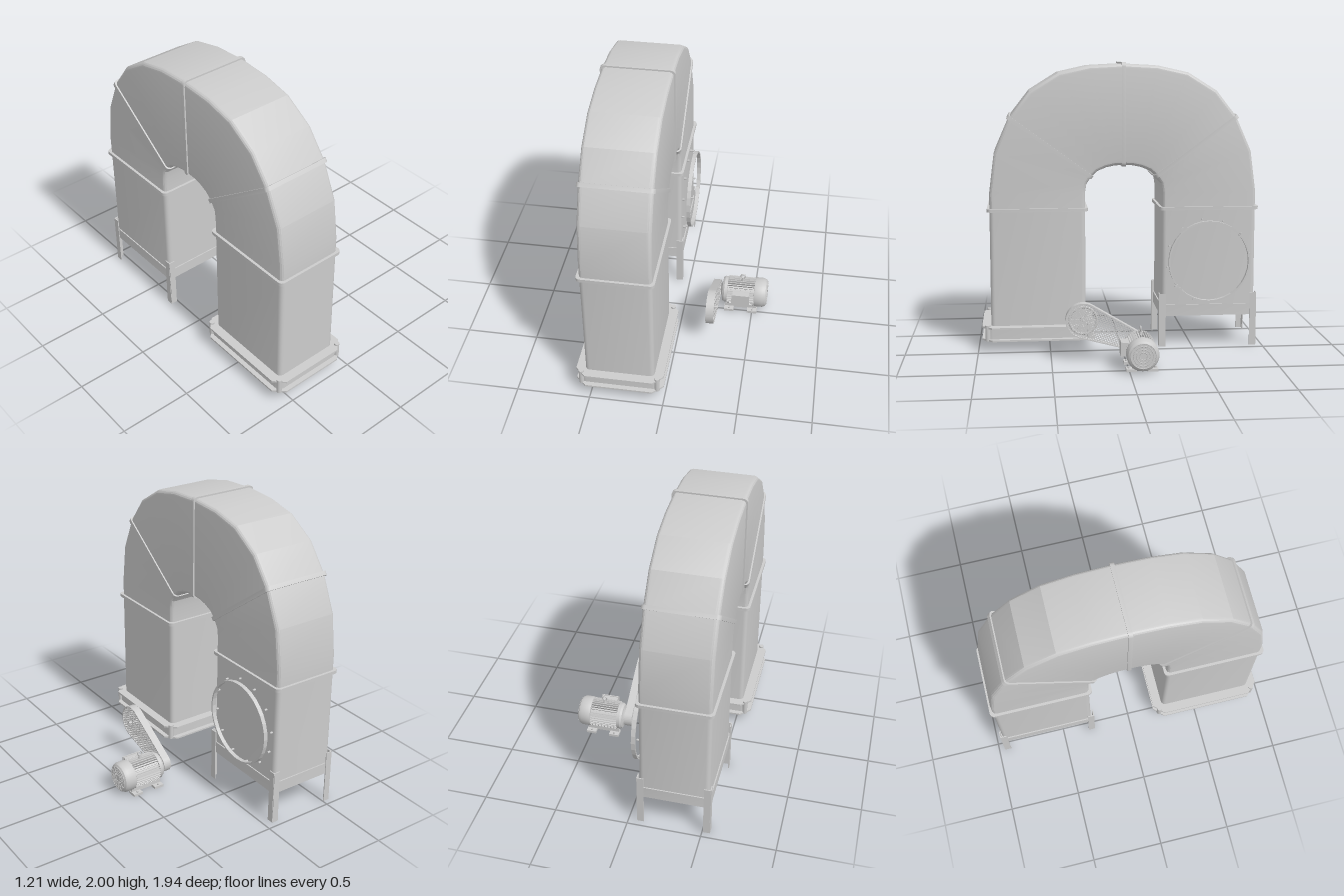
import * as THREE from 'three';
import { toCreasedNormals, mergeGeometries } from 'three/addons/utils/BufferGeometryUtils.js';

const CX = -0.305, HALF = 0.235; // duct centre and half width in x

export function createModel() {
  const root = new THREE.Group();
  const mat = new THREE.MeshStandardMaterial({ color: 0xcccccc, side: THREE.DoubleSide });
  const add = (name, geo, parent = root, x = 0, y = 0, z = 0) => {
    const m = new THREE.Mesh(geo, mat);
    m.name = name;
    m.position.set(x, y, z);
    parent.add(m);
    return m;
  };
  const group = (name, x = 0, y = 0, z = 0) => {
    const g = new THREE.Group();
    g.name = name;
    g.position.set(x, y, z);
    root.add(g);
    return g;
  };
  const box = (w, h, d, x = 0, y = 0, z = 0) => new THREE.BoxGeometry(w, h, d).translate(x, y, z);
  const cylX = (r, len, x = 0, y = 0, z = 0, n = 24) =>
    new THREE.CylinderGeometry(r, r, len, n).rotateZ(-Math.PI / 2).translate(x, y, z);

  // Rounded rectangle section; st = [inner z, inner y, outer z, outer y]
  function ring([pz, py, qz, qy], grow = 0, shift = 0, r = 0.03, segs = 4) {
    const len = Math.hypot(qz - pz, qy - py), sz = (qz - pz) / len, sy = (qy - py) / len;
    const a = len / 2 + grow, b = HALF + grow, pts = [];
    [[1, 1], [-1, 1], [-1, -1], [1, -1]].forEach(([i, j], k) => {
      for (let n = 0; n <= segs; n++) {
        const t = (k + n / segs) * Math.PI / 2;
        const s = i * (a - r) + r * Math.cos(t), w = j * (b - r) + r * Math.sin(t);
        pts.push([CX + w, (py + qy) / 2 + sy * s + sz * shift, (pz + qz) / 2 + sz * s - sy * shift]);
      }
    });
    return pts;
  }
  // Skin over a row of sections
  function loft(rings, closed = false, crease = 0.5) {
    const n = rings[0].length, idx = [], rows = rings.length;
    for (let k = 0; k < (closed ? rows : rows - 1); k++)
      for (let i = 0; i < n; i++) {
        const j = (i + 1) % n, l = (k + 1) % rows;
        idx.push(k * n + i, k * n + j, l * n + j, k * n + i, l * n + j, l * n + i);
      }
    const g = new THREE.BufferGeometry();
    g.setAttribute('position', new THREE.Float32BufferAttribute(rings.flat(2), 3));
    g.setIndex(idx);
    g.computeVertexNormals();
    return toCreasedNormals(g, crease);
  }
  // Collar around a section
  const collar = (st, out, t, r = 0.03, segs = 4) => loft(
    [[-0.001, -t], [out, -t], [out, t], [-0.001, t]].map(([g, s]) => ring(st, g, s, g > 0 ? r : 0.03, segs)), true);

  // Duct: front leg, bend, rear leg
  const front = y => [0.25, y, 0.91, y], rear = y => [-0.285, y, -0.945, y];
  const MID = -0.0175;
  const half = [ // inner offset, inner y, outer offset, outer y
    [0.2675, 1.1, 0.928, 1.1], [0.258, 1.16, 0.892, 1.38], [0.225, 1.21, 0.787, 1.62],
    [0.18, 1.25, 0.647, 1.8], [0.12, 1.275, 0.447, 1.925], [0.06, 1.287, 0.237, 1.972], [0, 1.29, 0, 1.985]];
  const side = s => half.map(([a, b, c, d]) => [MID + s * a, b, MID + s * c, d]);
  const bend = [...side(1), ...side(-1).slice(0, -1).reverse()];
  add('frontDuctLeg', loft([front(0.08), front(0.98)].map(s => ring(s))));
  add('ductBend', loft([front(0.98), ...bend, rear(0.98)].map(s => ring(s)), false, 0.3));
  add('rearDuctLeg', loft([rear(0.98), rear(0.22)].map(s => ring(s))));
  add('rearDuctFloor', box(2 * HALF, 0.008, 0.66, CX, 0.226, -0.615));

  // Joint collars
  [front(0.985), rear(0.985)].forEach(s => add('legCollar', collar(s, 0.018, 0.011)));
  [bend[2], bend[6], bend[10]].forEach(s => add('bendCollar', collar(s, 0.01, 0.014)));

  // Base of the front leg: two chamfered plates and a wall between them
  add('basePlate', collar(front(0.08), 0.063, 0.006, 0.07, 1));
  add('upperBasePlate', collar(front(0.167), 0.063, 0.006, 0.07, 1));
  add('baseWall', collar(front(0.123), 0.03, 0.042, 0.04));
  for (const x of [-1, 1]) for (const z of [-1, 1])
    add('baseCornerPost', new THREE.CylinderGeometry(0.018, 0.018, 0.11, 12), root, CX + x * 0.258, 0.13, 0.58 + z * 0.353);

  // Angle-iron stand under the rear leg
  add('standFrame', collar(rear(0.26), 0.008, 0.04));
  for (const x of [-1, 1]) for (const z of [-1, 1]) {
    const leg = group('standLeg', CX + x * 0.245, 0.19, -0.612 + z * 0.343);
    add('legFlangeX', box(0.044, 0.38, 0.007, -x * 0.022, 0, 0), leg);
    add('legFlangeZ', box(0.007, 0.38, 0.044, 0, 0, -z * 0.022), leg);
  }

  // Round inlet ring with bolts on the duct side
  const inlet = group('inlet', 0, 0.615, -0.613);
  inlet.rotation.y = Math.PI / 2;
  const hoop = new THREE.Shape().absarc(0, 0, 0.287, 0, Math.PI * 2);
  hoop.holes.push(new THREE.Path().absarc(0, 0, 0.276, 0, Math.PI * 2, true));
  add('inletRing', new THREE.ExtrudeGeometry(hoop, { depth: 0.028, bevelEnabled: false, curveSegments: 16 }), inlet, 0, 0, -0.037);
  for (let i = 0; i < 12; i++) {
    const t = (i + 0.3) * Math.PI / 6;
    add('inletBolt', new THREE.CylinderGeometry(0.008, 0.008, 0.022, 6).rotateX(Math.PI / 2),
      inlet, 0.295 * Math.cos(t), 0.295 * Math.sin(t), -0.062);
  }

  // Belt guard, drawn in the plane (u = -z, v = y) and turned to face +x
  const A = { u: -0.285, v: 0.277, r: 0.12 }, B = { u: 0.083, v: 0.122, r: 0.064 };
  const du = B.u - A.u, dv = B.v - A.v, span = Math.hypot(du, dv);
  const dir = Math.atan2(dv, du), tan = Math.acos((A.r - B.r) / span);
  const outline = (Type, inset) => new Type()
    .absarc(A.u, A.v, A.r - inset, dir + tan, dir - tan + Math.PI * 2)
    .absarc(B.u, B.v, B.r - inset, dir - tan, dir + tan);
  const inside = (u, v) => {
    for (let t = 0; t <= 1; t += 0.04)
      if (Math.hypot(u - A.u - t * du, v - A.v - t * dv) < A.r + t * (B.r - A.r) - 0.005) return true;
    return false;
  };
  const guard = group('beltGuard', 0.205, 0, 0);
  guard.rotation.y = Math.PI / 2;
  const rim = outline(THREE.Shape, 0);
  rim.holes.push(outline(THREE.Path, 0.007));
  add('guardRim', toCreasedNormals(
    new THREE.ExtrudeGeometry(rim, { depth: 0.055, bevelEnabled: false, curveSegments: 24 }), 0.5), guard);
  // Wire mesh clipped to the guard outline
  const wires = [];
  for (const ang of [dir + Math.PI / 4, dir - Math.PI / 4]) {
    const c = Math.cos(ang), s = Math.sin(ang);
    for (let o = -0.4; o < 0.4; o += 0.014) {
      let start = null;
      for (let t = -0.4; t <= 0.4; t += 0.004) {
        const u = -0.1 + c * t - s * o, v = 0.2 + s * t + c * o;
        const hit = inside(u, v);
        if (hit && start === null) start = t;
        if (!hit && start !== null) {
          const m = (start + t) / 2;
          wires.push(new THREE.BoxGeometry(t - start, 0.004, 0.003).rotateZ(ang)
            .translate(-0.1 + c * m - s * o, 0.2 + s * m + c * o, 0));
          start = null;
        }
      }
    }
  }
  const mesh = mergeGeometries(wires);
  add('guardMeshOuter', mesh, guard, 0, 0, 0.05);
  add('guardMeshInner', mesh, guard, 0, 0, 0.004);
  // Pulleys
  for (const [p, r] of [[A, 0.092], [B, 0.04]]) {
    add('pulleyRim', new THREE.TorusGeometry(r, 0.009, 8, 32), guard, p.u, p.v, 0.03);
    add('pulleyHub', new THREE.CylinderGeometry(0.022, 0.022, 0.04, 16).rotateX(Math.PI / 2), guard, p.u, p.v, 0.028);
    for (let i = 0; i < 6; i++)
      add('pulleySpoke', box(r, 0.012, 0.01, r / 2).rotateZ(i * Math.PI / 3), guard, p.u, p.v, 0.03);
  }
  add('pulleyShaft', cylX(0.01, 0.06, 0.25, A.v, -A.u, 12));

  // Electric motor along x
  const motor = group('motor', 0, 0.122, -0.083);
  const profile = [[0, 0.262], [0.04, 0.262], [0.055, 0.272], [0.085, 0.276], [0.095, 0.29], [0.095, 0.312], [0.082, 0.314],
    [0.082, 0.508], [0.104, 0.51], [0.107, 0.52], [0.107, 0.572], [0.098, 0.592], [0.085, 0.6], [0, 0.6]];
  add('motorBody', toCreasedNormals(new THREE.LatheGeometry(
    profile.map(([r, x]) => new THREE.Vector2(r, x)), 36).rotateZ(-Math.PI / 2), 0.5), motor);
  const fins = [];
  for (let i = 0; i < 36; i++) fins.push(box(0.195, 0.03, 0.005, 0.41, 0.088, 0).rotateX(i * Math.PI / 18));
  add('coolingFins', mergeGeometries(fins), motor);
  for (const r of [0.025, 0.045, 0.065, 0.083])
    add('fanGrilleRing', new THREE.TorusGeometry(r, 0.003, 6, 32).rotateY(Math.PI / 2), motor, 0.6, 0, 0);
  for (let i = 0; i < 12; i++)
    add('fanGrilleBar', box(0.005, 0.06, 0.004, 0.601, 0.055, 0).rotateX(i * Math.PI / 6), motor);
  add('motorShaft', cylX(0.014, 0.06, 0.245), motor);
  add('terminalBox', box(0.12, 0.09, 0.05, 0.415, 0.012, 0.107), motor);
  add('terminalBoxLid', box(0.13, 0.1, 0.008, 0.415, 0.012, 0.13), motor);
  // Lifting eye
  add('eyeStem', new THREE.CylinderGeometry(0.009, 0.012, 0.03, 12), motor, 0.42, 0.112, 0);
  add('liftingEye', new THREE.TorusGeometry(0.016, 0.005, 8, 20), motor, 0.42, 0.138, 0);
  // Mounting feet
  for (const z of [-1, 1]) {
    add('footRail', box(0.23, 0.05, 0.02, 0.415, -0.085, z * 0.055), motor);
    for (const x of [0.33, 0.5]) {
      add('foot', box(0.07, 0.018, 0.068, x, -0.113, z * 0.07), motor);
      add('footBolt', new THREE.CylinderGeometry(0.008, 0.008, 0.014, 6), motor, x, -0.1, z * 0.088);
    }
  }
  return root;
}
